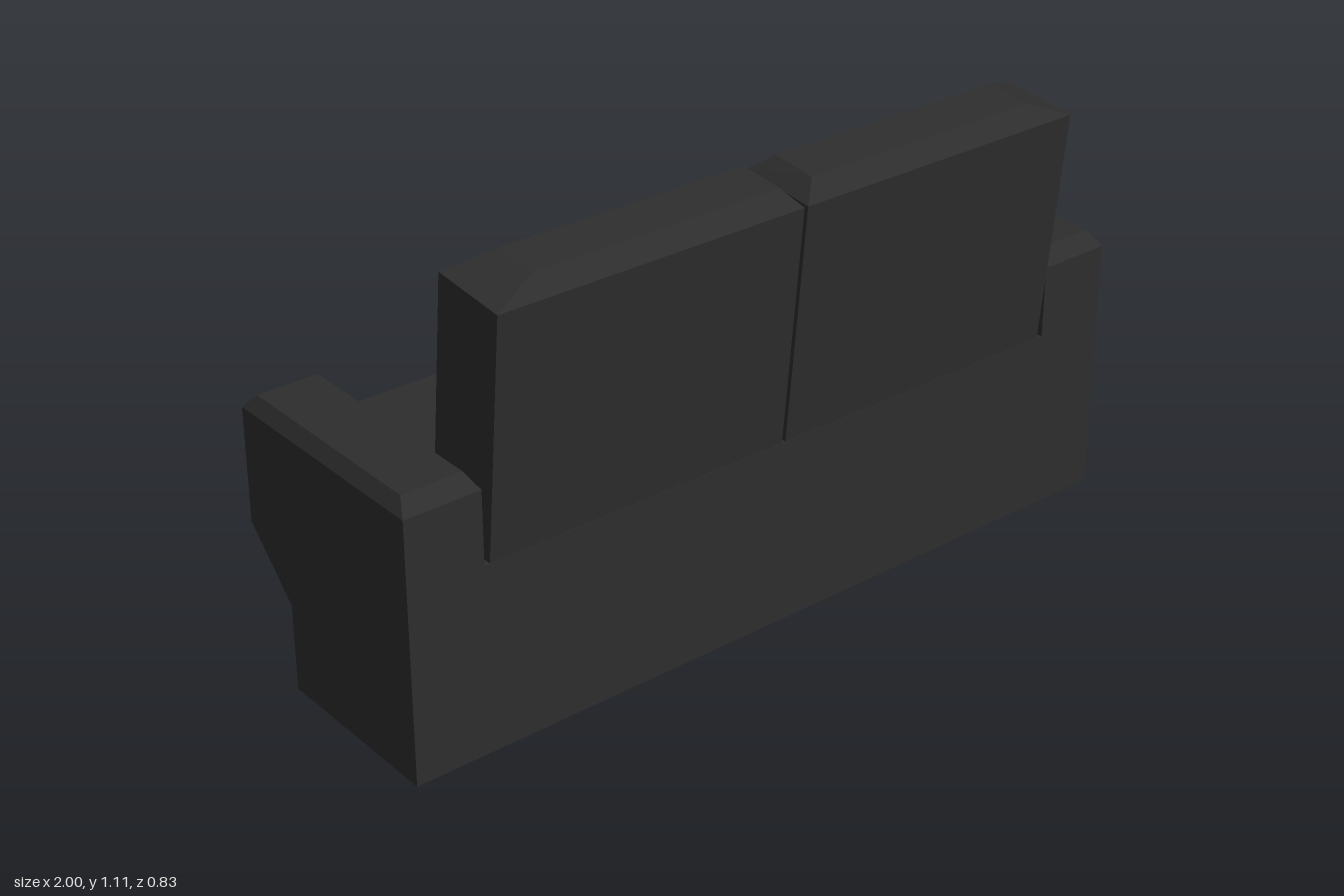
import * as THREE from 'three';

// Skins a stack of matching rings into a closed, faceted solid.
// side = -1 mirrors it across x and flips the winding.
function loft(rings, side) {
  const pos = [];
  const tri = (a, b, c) => {
    for (const p of side > 0 ? [a, b, c] : [a, c, b]) pos.push(p[0] * side, p[1], p[2]);
  };
  const n = rings[0].length;
  for (let r = 0; r < rings.length - 1; r++) {
    for (let i = 0; i < n; i++) {
      const j = (i + 1) % n;
      const lo = rings[r], hi = rings[r + 1];
      tri(lo[i], lo[j], hi[j]);
      tri(lo[i], hi[j], hi[i]);
    }
  }
  const first = rings[0], last = rings[rings.length - 1];
  for (let i = 1; i < n - 1; i++) {
    tri(first[0], first[i + 1], first[i]);
    tri(last[0], last[i], last[i + 1]);
  }
  const geo = new THREE.BufferGeometry();
  geo.setAttribute('position', new THREE.Float32BufferAttribute(pos, 3));
  geo.computeVertexNormals();
  return geo;
}

// Horizontal ring from [x, z] pairs
const level = (y, pts) => pts.map(([x, z]) => [x, y, z]);
// Upright rectangular ring facing -z
const frame = (z, x0, x1, y0, y1) => [[x1, y1, z], [x1, y0, z], [x0, y0, z], [x0, y1, z]];

export function createModel() {
  const group = new THREE.Group();
  group.name = 'sofa';
  const fabric = new THREE.MeshStandardMaterial({ color: 0x2d2d2d, flatShading: true });
  fabric.name = 'charcoal fabric';
  const add = (name, geo) => {
    const mesh = new THREE.Mesh(geo, fabric);
    mesh.name = name;
    group.add(mesh);
    return mesh;
  };

  // Base block between the arms
  add('base', new THREE.BoxGeometry(1.62, 0.462, 0.605)).position.set(0, 0.231, 0.0575);

  // Arm: lower front corner cut away, bevelled top
  const foot = [[1, 0.36], [1, -0.1], [0.905, -0.245], [0.81, -0.245], [0.81, 0.36]];
  const full = [[1, 0.36], [1, -0.245], [1, -0.245], [0.81, -0.245], [0.81, 0.36]];
  const inset = [[0.98, 0.325], [0.98, -0.212], [0.98, -0.212], [0.83, -0.212], [0.83, 0.325]];
  const arm = [level(0, foot), level(0.215, foot), level(0.36, full), level(0.642, full), level(0.677, inset)];

  // Seat cushion: projects past the arms, bevelled front edge
  const seat = [
    frame(-0.24, 0, 0.81, 0.215, 0.462),
    frame(-0.245, 0, 0.81, 0.215, 0.462),
    frame(-0.305, 0, 0.735, 0.215, 0.462),
    frame(-0.393, 0, 0.735, 0.215, 0.462),
    frame(-0.415, 0.02, 0.715, 0.238, 0.438),
  ];

  // Back cushion: leaning slab with a bevelled top
  const slab = (x0, x1, yBack, zBack, yFront, zFront) => [
    [x1, yBack, zBack], [x1, yFront, zFront], [x0, yFront, zFront], [x0, yBack, zBack],
  ];
  const back = [
    slab(0.005, 0.795, 0.46, 0.358, 0.46, 0.157),
    slab(0.005, 0.795, 1.05, 0.415, 1.07, 0.218),
    slab(0.045, 0.685, 1.095, 0.38, 1.106, 0.265),
  ];

  for (const side of [1, -1]) {
    const label = side > 0 ? 'left' : 'right';
    add(label + 'Arm', loft(arm, side));
    add(label + 'SeatCushion', loft(seat, side));
    add(label + 'BackCushion', loft(back, side));
  }
  return group;
}
